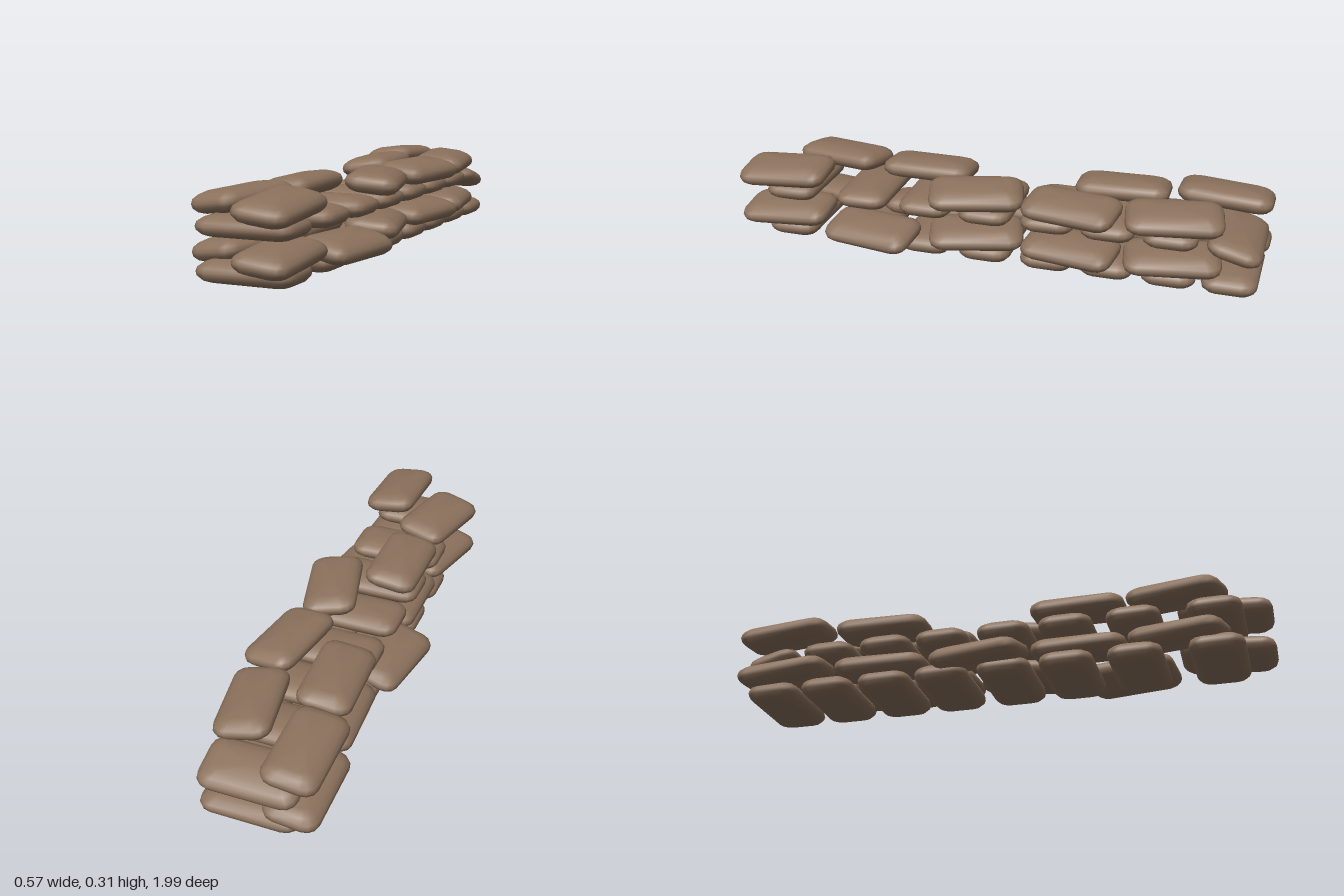
import * as THREE from 'three';

const LENGTH = 0.35, WIDTH = 0.2, HEIGHT = 0.078, CORNER = 0.05;

// Pillow-shaped bag, long along z: stacked rounded-rectangle rings with closed ends
function bagGeometry() {
  const rings = [[0, 0.035], [0.008, 0.016], [0.022, 0.003], [0.036, 0], [0.051, 0.005], [0.064, 0.022], [0.074, 0.05]];
  const corners = [[1, 1], [-1, 1], [-1, -1], [1, -1]];
  const steps = 4, count = corners.length * steps;
  const pos = [], idx = [];
  for (const [y, inset] of rings) {
    const r = CORNER - inset * 0.5;
    corners.forEach(([sx, sz], c) => {
      for (let i = 0; i < steps; i++) {
        const a = (c + i / (steps - 1)) * Math.PI / 2;
        pos.push(
          sx * (WIDTH / 2 - inset - r) + Math.cos(a) * r,
          y - HEIGHT / 2,
          sz * (LENGTH / 2 - inset - r) + Math.sin(a) * r);
      }
    });
  }
  for (let k = 0; k < rings.length - 1; k++) {
    for (let i = 0; i < count; i++) {
      const a = k * count + i, b = k * count + (i + 1) % count;
      idx.push(a, a + count, b, b, a + count, b + count);
    }
  }
  // bottom and top caps
  const bottom = pos.length / 3, top = bottom + 1, last = (rings.length - 1) * count;
  pos.push(0, -HEIGHT / 2, 0, 0, HEIGHT / 2, 0);
  for (let i = 0; i < count; i++) {
    const j = (i + 1) % count;
    idx.push(bottom, i, j, top, last + j, last + i);
  }
  const g = new THREE.BufferGeometry();
  g.setAttribute('position', new THREE.Float32BufferAttribute(pos, 3));
  g.setIndex(idx);
  g.computeVertexNormals();
  return g;
}

export function createModel() {
  const group = new THREE.Group();
  group.name = 'sandbagWall';
  const burlap = new THREE.MeshStandardMaterial({ color: 0x8c725d });
  burlap.name = 'brown burlap';
  const geometry = bagGeometry();
  const rad = THREE.MathUtils.degToRad;

  function addBag(name, parent, x, y, z, yaw, pitch = 0, roll = 0) {
    const bag = new THREE.Mesh(geometry, burlap);
    bag.name = name;
    bag.position.set(x, y, z);
    bag.rotation.set(rad(pitch), rad(yaw), rad(roll), 'YXZ');
    parent.add(bag);
    return bag;
  }

  function addLayer(name) {
    const layer = new THREE.Group();
    layer.name = name;
    group.add(layer);
    return layer;
  }

  // Crosswise courses; the rearmost bag of the upper one sags backwards
  const crossZ = [0.795, 0.505, 0.255, 0.022, -0.217, -0.44, -0.667, -0.885];
  [0.039, 0.186].forEach((y, level) => {
    const layer = addLayer(level ? 'upperCrosswiseLayer' : 'lowerCrosswiseLayer');
    crossZ.forEach((z, i) => {
      const sagging = level === 1 && i === crossZ.length - 1;
      const bag = addBag('crosswiseBag', layer, 0, sagging ? 0.167 : y, sagging ? -0.895 : z, 90, 0, sagging ? -15 : 0);
      bag.scale.set(1, level ? 0.95 : 1, 1.02);
    });
  });

  // Lengthwise courses: x, z, yaw, pitch; each bag droops outwards
  const lengthwise = [
    [-0.155, -0.825, 0, -4], [0.105, -0.675, 10, 0],
    [-0.11, -0.45, 3, 0], [0.13, -0.307, -9, 0],
    [0.11, 0.058, 15, 0], [-0.08, 0.30, 0, 0],
    [-0.11, 0.665, -13, 2], [0.11, 0.82, 0, 4],
  ];
  [0.1, 0.258].forEach((y, level) => {
    const layer = addLayer(level ? 'upperLengthwiseLayer' : 'lowerLengthwiseLayer');
    for (const [x, z, yaw, pitch] of lengthwise)
      addBag('lengthwiseBag', layer, x, y, z, yaw, pitch, -7 * Math.sign(x));
    // two extra bags slumped off the sides of the lower course
    if (level === 0) {
      addBag('slumpedBag', layer, -0.168, 0.082, -0.06, -9, 0, 11);
      addBag('slumpedBag', layer, 0.168, 0.082, 0.452, -9, 0, -11);
    }
  });

  return group;
}
